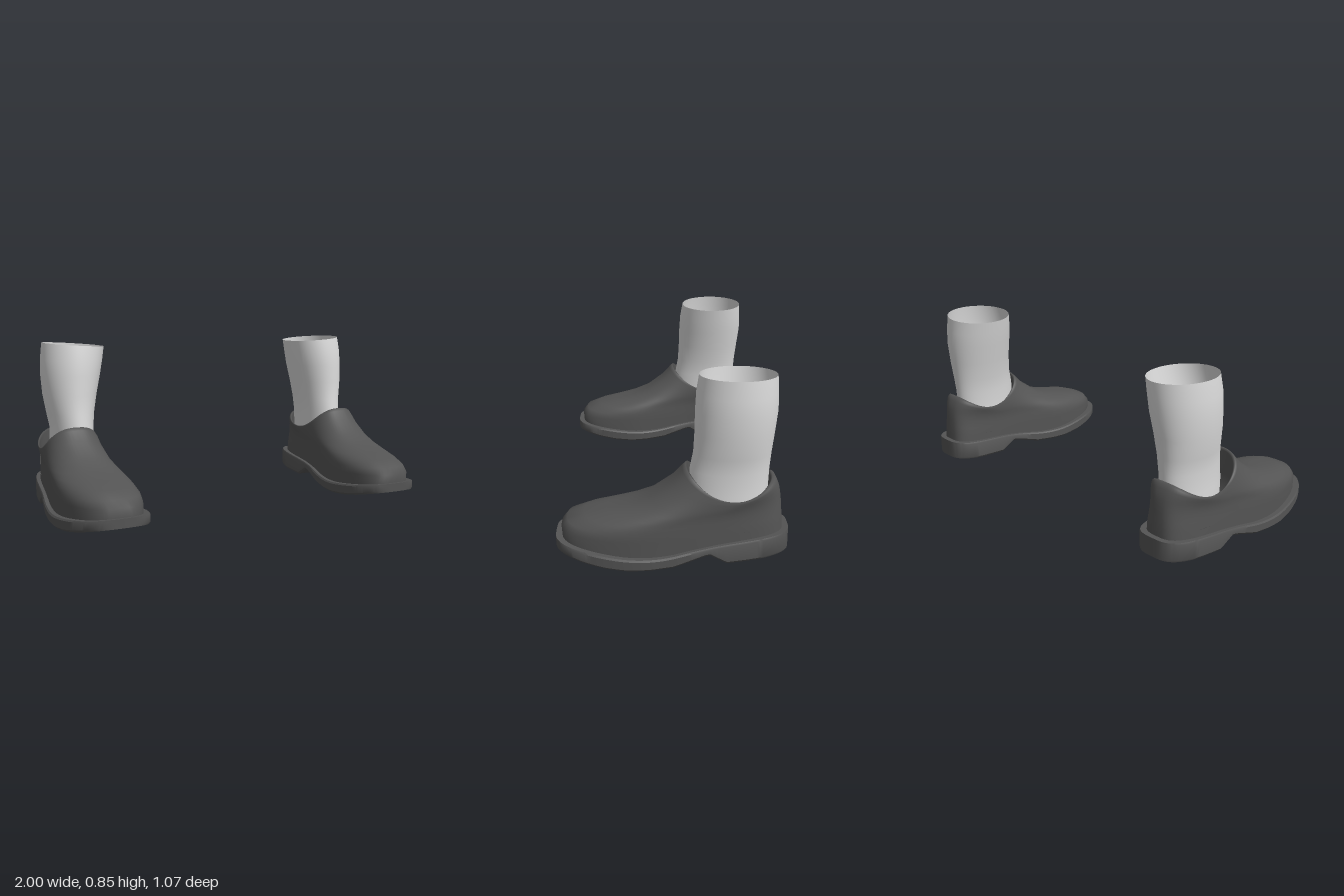
import * as THREE from 'three';
import { toCreasedNormals } from 'three/addons/utils/BufferGeometryUtils.js';

// Smooth lookup through [position, value] points
function smooth(points) {
  const slope = (i) => {
    const a = points[Math.max(i - 1, 0)], b = points[Math.min(i + 1, points.length - 1)];
    return (b[1] - a[1]) / (b[0] - a[0]);
  };
  return (z) => {
    let i = 0;
    while (i < points.length - 2 && z > points[i + 1][0]) i++;
    const [z0, v0] = points[i], [z1, v1] = points[i + 1], h = z1 - z0;
    const t = THREE.MathUtils.clamp((z - z0) / h, 0, 1), t2 = t * t, t3 = t2 * t;
    return (2 * t3 - 3 * t2 + 1) * v0 + (t3 - 2 * t2 + t) * h * slope(i)
      + (3 * t2 - 2 * t3) * v1 + (t3 - t2) * h * slope(i + 1);
  };
}

// Straight-line lookup, for the sharp heel notch
function linear(points) {
  return (z) => {
    let i = 0;
    while (i < points.length - 2 && z > points[i + 1][0]) i++;
    const [z0, v0] = points[i], [z1, v1] = points[i + 1];
    return v0 + (v1 - v0) * THREE.MathUtils.clamp((z - z0) / (z1 - z0), 0, 1);
  };
}

// Plan shape of the shoe: centre line and half width from heel to toe
const centre = smooth([[-0.53, 0.785], [-0.3, 0.795], [-0.15, 0.8], [0, 0.797], [0.15, 0.788], [0.3, 0.78], [0.53, 0.768]]);
const half = smooth([[-0.53, 0.163], [-0.3, 0.162], [-0.15, 0.168], [0, 0.192], [0.15, 0.212], [0.3, 0.212], [0.53, 0.2]]);
const soleTop = smooth([[-0.53, 0.13], [-0.24, 0.105], [-0.1, 0.085], [0.05, 0.06], [0.2, 0.058], [0.4, 0.08], [0.53, 0.1]]);
const soleBottom = linear([[-0.53, 0.035], [-0.4, 0.02], [-0.24, 0.012], [-0.16, 0.06], [0, 0.012], [0.1, 0.003], [0.2, 0], [0.3, 0.008], [0.4, 0.025], [0.53, 0.055]]);

// Skin closed rings of [x, y, z] points; side -1 mirrors the result
function loft(rings, side) {
  const n = rings[0].length, index = [];
  for (let k = 0; k < rings.length - 1; k++) {
    for (let i = 0; i < n; i++) {
      const a = k * n + i, b = k * n + (i + 1) % n, c = b + n, d = a + n;
      if (side > 0) index.push(a, b, c, a, c, d);
      else index.push(a, c, b, a, d, c);
    }
  }
  const geometry = new THREE.BufferGeometry();
  const flat = rings.flat().flatMap(([x, y, z]) => [x * side, y, z]);
  geometry.setAttribute('position', new THREE.Float32BufferAttribute(flat, 3));
  geometry.setIndex(index);
  geometry.computeVertexNormals();
  return geometry;
}

const power = (v, e) => Math.sign(v) * Math.abs(v) ** e;

// Sole: cross-sections from heel to toe, rounded off at both ends
function soleGeometry(side) {
  const rings = [], steps = 80, p = 3.5;
  for (let k = 0; k <= steps; k++) {
    const w = -Math.cos((k / steps) * Math.PI), z = w * 0.533;
    const r = half(z) * Math.max(1 - Math.abs(w) ** p, 0) ** (1 / p);
    const c = centre(z), top = soleTop(z), low = soleBottom(z);
    rings.push([
      [-0.95, low], [0, low], [0.95, low], [1, low + 0.01],
      [1, top - 0.008], [0.97, top], [0, top], [-0.97, top], [-1, top - 0.008], [-1, low + 0.01],
    ].map(([u, y]) => [c + u * r, y, z]));
  }
  return toCreasedNormals(loft(rings, side), 0.6);
}

// Upper: rings from the welt to the rim, then down the lining to the insole
// [front z, front y, back z, back y, middle y, width, squareness]
const upperRings = [
  [0.503, 0.085, -0.505, 0.115, 0.05, 0.87, 3.3],
  [0.507, 0.14, -0.503, 0.17, 0.13, 0.87, 3.2],
  [0.48, 0.175, -0.5, 0.21, 0.165, 0.87, 3.0],
  [0.4, 0.205, -0.497, 0.25, 0.195, 0.86, 2.8],
  [0.3, 0.225, -0.494, 0.28, 0.222, 0.86, 2.7],
  [0.2, 0.25, -0.49, 0.305, 0.245, 0.87, 2.6],
  [0.1, 0.29, -0.485, 0.33, 0.267, 0.88, 2.6],
  [0, 0.365, -0.475, 0.355, 0.29, 0.88, 2.6],
  [-0.045, 0.415, -0.465, 0.374, 0.302, 0.88, 2.6],
  [-0.06, 0.43, -0.452, 0.38, 0.306, 0.86, 2.6],
  [-0.07, 0.42, -0.444, 0.37, 0.3, 0.82, 2.6],
  [-0.068, 0.3, -0.455, 0.25, 0.22, 0.82, 2.6],
  [-0.068, 0.15, -0.455, 0.15, 0.15, 0.82, 2.6],
  [-0.25, 0.15, -0.27, 0.15, 0.15, 0.01, 2],
];

function upperGeometry(side) {
  const n = 72;
  return loft(upperRings.map(([zf, yf, zb, yb, ym, width, p]) => {
    const ring = [];
    for (let i = 0; i < n; i++) {
      const a = (i / n) * Math.PI * 2;
      const u = power(Math.sin(a), 2 / p), w = power(Math.cos(a), 2 / p);
      const z = (zf + zb) / 2 + w * (zf - zb) / 2;
      const y = ym + w * (yf - yb) / 2 + w * w * ((yf + yb) / 2 - ym);
      ring.push([centre(z) + u * half(z) * width, y, z]);
    }
    return ring;
  }), side);
}

// Sock: open tube flaring inwards at the top [y, inner x, outer x, front z, back z]
const sockRings = [
  [0.18, 0.665, 0.88, -0.075, -0.435], [0.3, 0.665, 0.88, -0.073, -0.438], [0.4, 0.663, 0.875, -0.08, -0.442],
  [0.48, 0.652, 0.89, -0.095, -0.448], [0.58, 0.632, 0.906, -0.1, -0.46], [0.68, 0.608, 0.912, -0.102, -0.472],
  [0.76, 0.592, 0.91, -0.107, -0.472], [0.835, 0.58, 0.9, -0.12, -0.468],
];

function sockGeometry(side) {
  const n = 48;
  return loft(sockRings.map(([y, xi, xo, zf, zb]) => {
    const ring = [], tilt = y > 0.8 ? 0.011 : 0;
    for (let i = 0; i < n; i++) {
      const a = (i / n) * Math.PI * 2, u = Math.sin(a), w = Math.cos(a);
      ring.push([(xi + xo) / 2 + u * (xo - xi) / 2, y + tilt * u, (zf + zb) / 2 + w * (zf - zb) / 2]);
    }
    return ring;
  }), side);
}

export function createModel() {
  const leather = new THREE.MeshStandardMaterial({ color: 0x545454 });
  leather.name = 'dark grey leather';
  const knit = new THREE.MeshStandardMaterial({ color: 0xdadada, side: THREE.DoubleSide });
  knit.name = 'light grey knit';

  const model = new THREE.Group();
  model.name = 'pairOfShoes';
  for (const side of [1, -1]) {
    const shoe = new THREE.Group();
    shoe.name = side > 0 ? 'leftShoe' : 'rightShoe';
    const add = (name, geometry, material) => {
      const mesh = new THREE.Mesh(geometry, material);
      mesh.name = name;
      shoe.add(mesh);
      return mesh;
    };
    add('sole', soleGeometry(side), leather);
    add('upper', upperGeometry(side), leather);
    add('sock', sockGeometry(side), knit);
    // Small pale spot under the heel
    add('heelSpot', new THREE.CylinderGeometry(0.024, 0.024, 0.006, 8), knit).position.set(0.785 * side, 0.022, -0.43);
    model.add(shoe);
  }
  return model;
}
